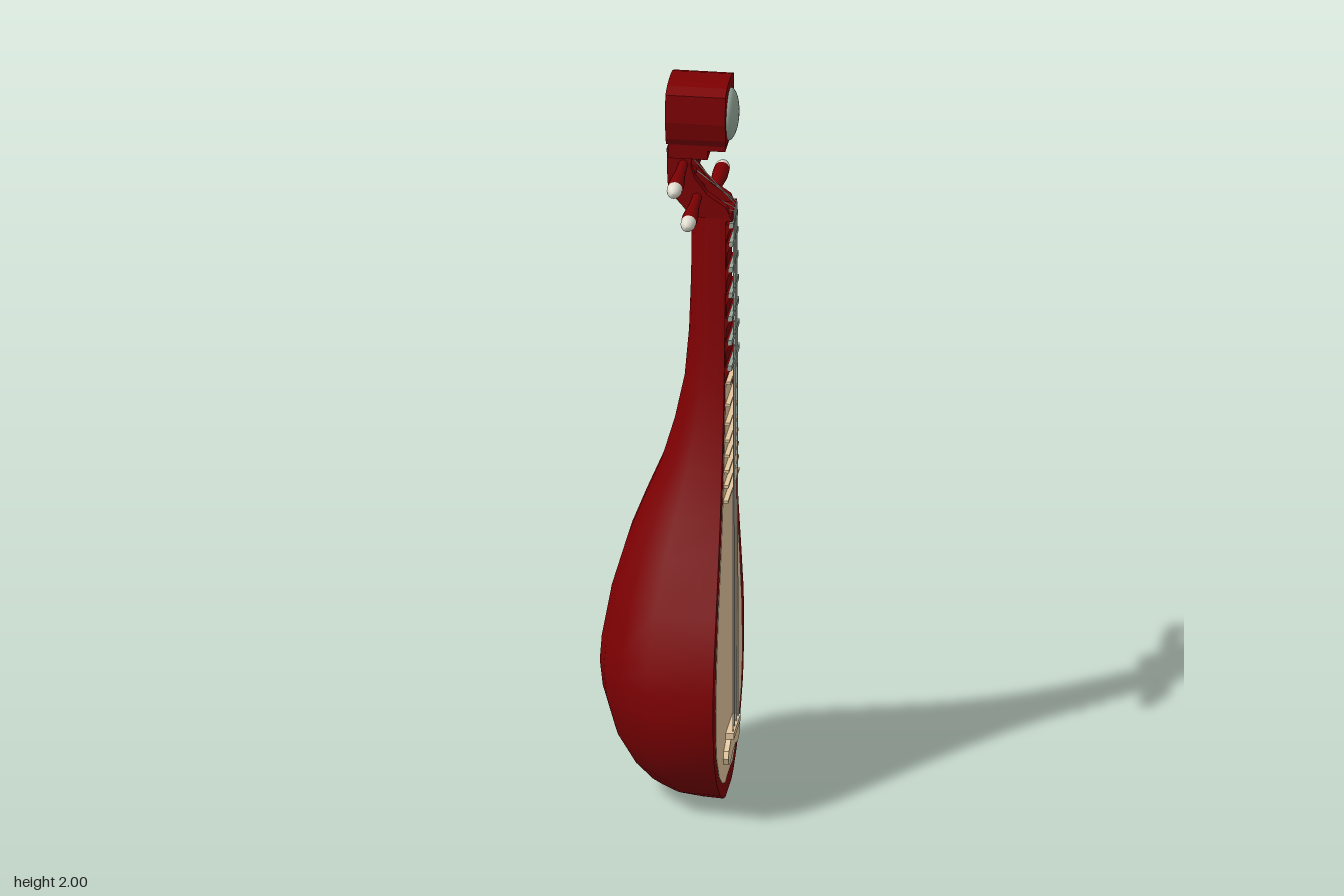
import * as THREE from 'three';
import { toCreasedNormals } from 'three/addons/utils/BufferGeometryUtils.js';

const mat = (name, color) => {
  const m = new THREE.MeshStandardMaterial({ color });
  m.name = name;
  return m;
};

export function createModel() {
  const red = mat('red lacquer', 0x7c0002);
  const wood = mat('pale wood', 0xe4c79e);
  const jade = mat('grey jade', 0x97a99c);
  const ivory = mat('ivory', 0xe0dcd0);
  const model = new THREE.Group();
  model.name = 'lute';

  const add = (name, geo, material, parent = model) => {
    const mesh = new THREE.Mesh(geo, material);
    mesh.name = name;
    parent.add(mesh);
    return mesh;
  };
  const group = (name) => {
    const g = new THREE.Group();
    g.name = name;
    model.add(g);
    return g;
  };
  const box = (name, x0, x1, y0, y1, halfZ, material, parent) => {
    const mesh = add(name, new THREE.BoxGeometry(x1 - x0, y1 - y0, halfZ * 2), material, parent);
    mesh.position.set((x0 + x1) / 2, (y0 + y1) / 2, 0);
  };
  const outline = (pts) => new THREE.Shape(pts.map(([a, b]) => new THREE.Vector2(a, b)));
  const mirrored = (pts) => [...pts, ...pts.slice().reverse().map(([a, b]) => [-a, b])];
  // symmetric (z, y) outline pushed along x
  const plateX = (half, x0, x1) =>
    new THREE.ExtrudeGeometry(outline(mirrored(half)), { depth: x1 - x0, bevelEnabled: false })
      .rotateY(Math.PI / 2).translate(x0, 0, 0);
  // (x, y) profile pushed along z
  const plateZ = (pts, z0, z1) =>
    new THREE.ExtrudeGeometry(outline(pts), { depth: z1 - z0, bevelEnabled: false }).translate(0, 0, z0);
  const rod = (name, a, b, r, material, parent) => {
    const from = new THREE.Vector3(...a), dir = new THREE.Vector3(...b).sub(from);
    const mesh = add(name, new THREE.CylinderGeometry(r, r, dir.length(), 6), material, parent);
    mesh.position.copy(from).addScaledVector(dir, 0.5);
    mesh.quaternion.setFromUnitVectors(new THREE.Vector3(0, 1, 0), dir.normalize());
  };

  // Body and neck: rows of [height, half width, back x]
  const front = 0.15;
  const rows = [
    [0, 0.06, 0.11], [0.012, 0.1, 0.05], [0.045, 0.16, -0.05], [0.1, 0.225, -0.093],
    [0.19, 0.285, -0.14], [0.3, 0.308, -0.17], [0.37, 0.304, -0.178], [0.44, 0.295, -0.173],
    [0.58, 0.248, -0.148], [0.72, 0.198, -0.107], [0.82, 0.165, -0.068], [0.93, 0.134, -0.022],
    [1.05, 0.107, 0.013], [1.17, 0.088, 0.038], [1.3, 0.074, 0.049], [1.45, 0.062, 0.054],
    [1.64, 0.05, 0.056],
  ];
  const section = [[0, 1], [0.55, 0.925], [0.79, 0.65], [0.94, 0.44], [1, 0.21]];
  const ring = [...section, ...section.slice().reverse().map(([d, w]) => [d, -w])];
  const n = ring.length, pos = [], index = [];
  for (const [y, w, back] of rows)
    for (const [d, s] of ring) pos.push(front + (back - front) * d, y, w * s);
  for (let i = 0; i < rows.length - 1; i++)
    for (let j = 0; j < n; j++) {
      const a = i * n + j, b = i * n + (j + 1) % n;
      index.push(a, a + n, b, b, a + n, b + n);
    }
  const last = (rows.length - 1) * n;
  for (let j = 1; j < n - 1; j++) index.push(0, j, j + 1, last, last + j + 1, last + j);
  const body = new THREE.BufferGeometry();
  body.setAttribute('position', new THREE.Float32BufferAttribute(pos, 3));
  body.setIndex(index);
  add('body', toCreasedNormals(body, 0.75), red);

  // Soundboard, almost flush with the rim
  add('soundboard', plateX([
    [0.03, 0.05], [0.07, 0.045], [0.13, 0.068], [0.19, 0.11], [0.24, 0.18], [0.259, 0.25],
    [0.26, 0.33], [0.248, 0.43], [0.208, 0.58], [0.163, 0.71], [0.13, 0.82], [0.104, 0.93],
    [0.08, 1.05], [0.064, 1.17],
  ], 0.145, 0.1515), wood);

  // Thin frets on the soundboard
  const frets = group('boardFrets');
  [1.17, 1.11, 1.06, 1.015, 0.975, 0.935, 0.895, 0.855].forEach((y, i) =>
    box('boardFret', 0.15, 0.164, y - 0.004, y + 0.004, 0.062 + i * 0.007, wood, frets));

  // Wedge frets on the neck, each tipped with a jade bar
  const wedges = group('neckFrets');
  const heights = [1.61, 1.56, 1.49, 1.42, 1.355, 1.29, 1.22, 1.175];
  for (let i = 0; i < heights.length - 1; i++) {
    const y = heights[i], next = heights[i + 1], w = 0.046 + (1.61 - y) * 0.075;
    add('wedge', plateZ([[0.14, y], [0.14, next], [0.152, next], [0.153, y - 0.032],
      [0.158, y - 0.018], [0.166, y - 0.008], [0.166, y]], -w, w), red, wedges);
    box('wedgeTip', 0.158, 0.169, y - 0.008, y + 0.006, w + 0.002, jade, wedges);
  }
  box('nut', 0.12, 0.166, 1.62, 1.645, 0.048, red);

  // Bridge
  add('bridge', plateX([[0.03, 0.115], [0.05, 0.108], [0.085, 0.103], [0.108, 0.112], [0.115, 0.13],
    [0.105, 0.148], [0.08, 0.155], [0.066, 0.165], [0.066, 0.182]], 0.148, 0.165), wood);
  box('bridgeTop', 0.15, 0.173, 0.165, 0.182, 0.066, wood);

  // Pegbox: two curved cheeks with an open slot between them
  const pegbox = group('pegbox');
  const cheek = [[0.056, 1.63], [0.04, 1.655], [0.01, 1.69], [-0.003, 1.725], [-0.005, 1.82],
    [0.062, 1.82], [0.058, 1.77], [0.068, 1.74], [0.1, 1.695], [0.15, 1.66], [0.163, 1.63]];
  for (const z of [-0.05, 0.026]) add('cheek', plateZ(cheek, z, z + 0.024), red, pegbox);

  // Head with stepped collar and domed disc
  const head = group('head');
  add('headBlock', plateX([[0.068, 1.84], [0.08, 1.86], [0.09, 1.91], [0.084, 1.985], [0.05, 1.997],
    [0.02, 2]], -0.004, 0.153), red, head);
  box('collarUpper', 0, 0.15, 1.825, 1.85, 0.066, red, head);
  box('collarLower', 0, 0.104, 1.8, 1.83, 0.066, red, head);
  const dome = add('disc', new THREE.SphereGeometry(1, 24, 8, 0, Math.PI * 2, 0, Math.PI / 2), jade, head);
  dome.scale.set(0.07, 0.025, 0.07);
  dome.rotation.z = -Math.PI / 2;
  dome.position.set(0.152, 1.905, 0);

  // Tuning pegs: [x, y, side, tip distance]
  const pegs = [[0.038, 1.777, 1, 0.248], [0.052, 1.73, -1, 0.259],
    [0.074, 1.685, 1, 0.248], [0.103, 1.65, -1, 0.259]];
  const lathe = (pts) => new THREE.LatheGeometry(pts.map(([r, h]) => new THREE.Vector2(r, h)), 16);
  for (const [x, y, side, tip] of pegs) {
    const peg = group('tuningPeg');
    add('pegShaft', lathe([[0, -0.045], [0.011, -0.045], [0.013, 0.06], [0.014, 0.11], [0.019, 0.16],
      [0.021, 0.185], [0.02, tip - 0.036]]), red, peg);
    add('pegTip', lathe([[0.02, tip - 0.036], [0.0195, tip - 0.022], [0.016, tip - 0.01],
      [0.009, tip - 0.002], [0, tip]]), ivory, peg);
    peg.position.set(x, y, 0);
    peg.rotation.x = side * Math.PI / 2;
  }

  // Strings from bridge over the nut to the pegs
  const strings = group('strings');
  const order = [1, 0, 2, 3];
  [-0.051, -0.017, 0.017, 0.051].forEach((z, i) => {
    const top = [0.168, 1.645, z * 0.6], [px, py] = pegs[order[i]];
    rod('string', [0.168, 0.17, z], top, 0.0015, ivory, strings);
    rod('stringEnd', top, [px + 0.012, py, z * 0.45], 0.0015, ivory, strings);
  });

  return model;
}
